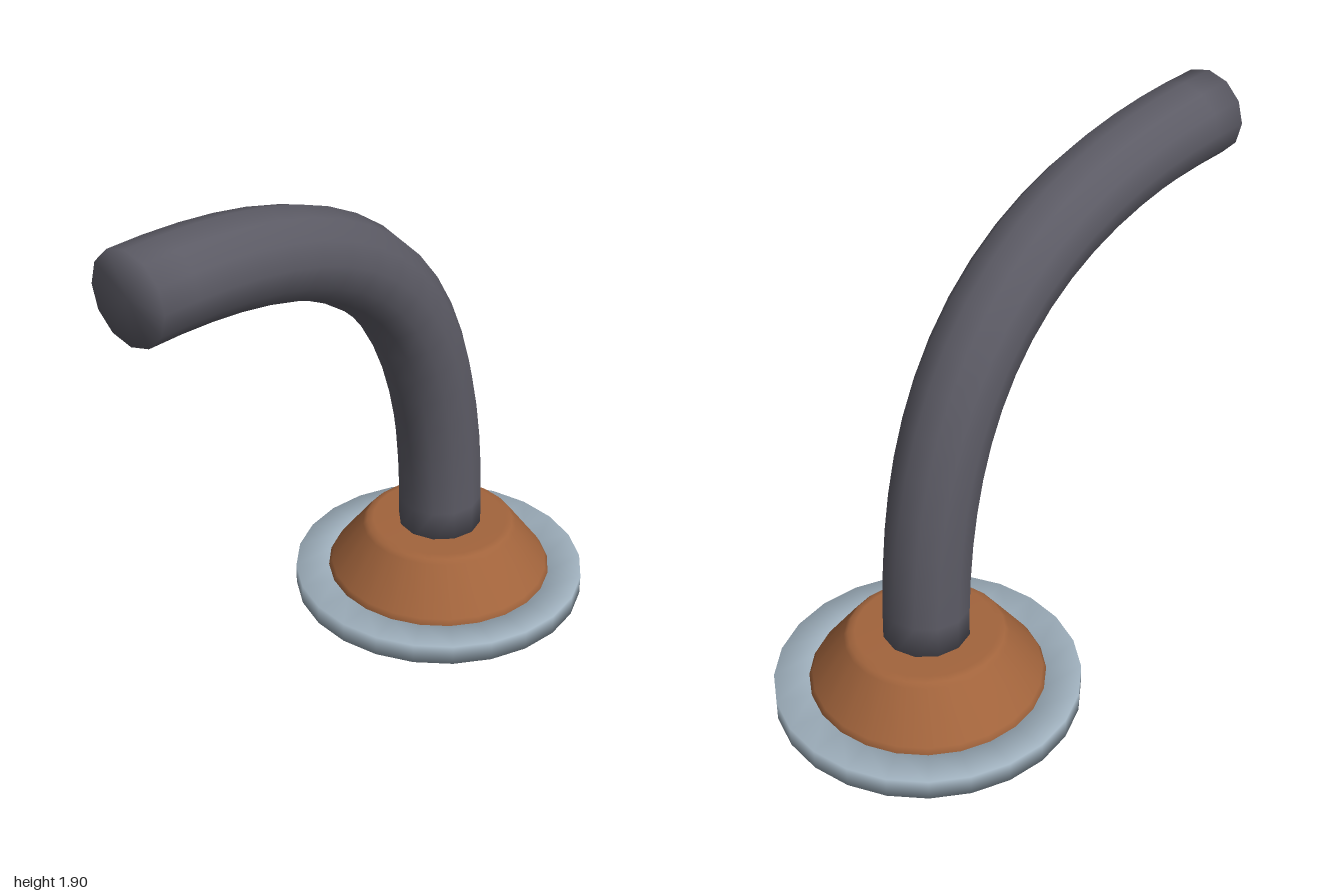
import * as THREE from 'three';
import { mergeVertices } from 'three/addons/utils/BufferGeometryUtils.js';

const SIDES = 12, STEPS = 18, BASE_X = 0.455;

// Solid tube along a curve, with softly shaded end caps
function cappedTube(curve, radius) {
  const tube = new THREE.TubeGeometry(curve, STEPS, radius, SIDES, false);
  const pos = Array.from(tube.attributes.position.array);
  const index = Array.from(tube.index.array);
  const first = pos.length / 3, last = first + 1, end = STEPS * (SIDES + 1);
  pos.push(...curve.getPoint(0).toArray(), ...curve.getPoint(1).toArray());
  for (let i = 0; i < SIDES; i++) {
    index.push(first, i, i + 1, last, end + i + 1, end + i);
  }
  const g = new THREE.BufferGeometry();
  g.setAttribute('position', new THREE.Float32BufferAttribute(pos, 3));
  g.setIndex(index);
  const welded = mergeVertices(g, 1e-4);
  welded.computeVertexNormals();
  return welded;
}

const lathe = (points) =>
  new THREE.LatheGeometry(points.map(([r, y]) => new THREE.Vector2(r, y)), 24);

export function createModel() {
  const darkGrey = new THREE.MeshStandardMaterial({ name: 'darkGrey', color: 0x5c5b65 });
  const copper = new THREE.MeshStandardMaterial({ name: 'copper', color: 0xa2643c });
  const steel = new THREE.MeshStandardMaterial({ name: 'steel', color: 0x9fb0bd });

  const model = new THREE.Group();
  model.name = 'bentPipeOnFlange';
  const add = (name, geometry, material, x = 0, y = 0) => {
    const mesh = new THREE.Mesh(geometry, material);
    mesh.name = name;
    mesh.position.set(x, y, 0);
    model.add(mesh);
    return mesh;
  };

  // Flat ring around the foot
  add('baseRing', lathe([[0.415, 0], [0.545, 0], [0.545, 0.075], [0.415, 0.075], [0.415, 0]]),
    steel, BASE_X);

  // Tapered collar with bevelled edges
  add('collar', lathe([[0.42, 0.002], [0.42, 0.075], [0.408, 0.095], [0.29, 0.253],
    [0.275, 0.268], [0.25, 0.274], [0, 0.274]]), copper, BASE_X);

  // Underside of the collar
  add('collarUnderside', new THREE.CircleGeometry(0.422, 24), copper, BASE_X, -0.0005)
    .rotation.x = Math.PI / 2;

  // Pipe rising from the collar and bending over to the right
  const bend = new THREE.CubicBezierCurve3(
    new THREE.Vector3(BASE_X, 0.255, 0),
    new THREE.Vector3(BASE_X, 1.3, 0),
    new THREE.Vector3(0.02, 1.74, 0),
    new THREE.Vector3(-1, 1.74, 0));
  add('pipe', cappedTube(bend, 0.155), darkGrey);

  return model;
}
